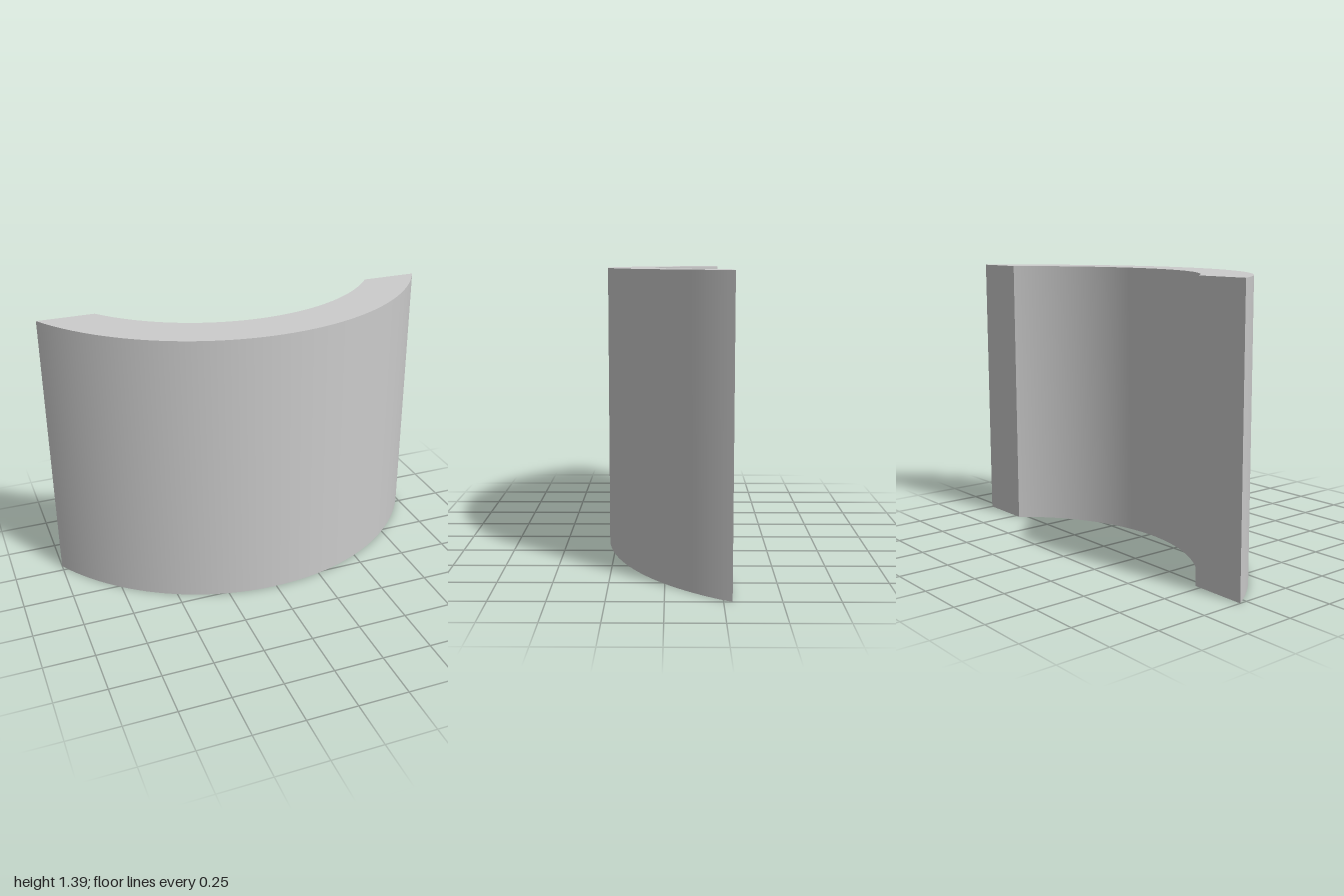
import * as THREE from 'three';
import { toCreasedNormals } from 'three/addons/utils/BufferGeometryUtils.js';

const HEIGHT = 1.386;
const BACK_Z = -0.288;     // flat plane that cuts both ends
const CENTRE_Z = -0.869;   // shared axis of the two arcs
const OUTER_R = 1.157;
const INNER_R = 0.925;

export function createModel() {
  const group = new THREE.Group();
  group.name = 'curvedWall';

  // Plan section: concentric arcs, both trimmed by the back plane (shape y becomes z)
  const trimAngle = (r) => Math.asin((BACK_Z - CENTRE_Z) / r);
  const outer = trimAngle(OUTER_R);
  const inner = trimAngle(INNER_R);
  const section = new THREE.Shape();
  section.absarc(0, CENTRE_Z, OUTER_R, outer, Math.PI - outer, false);
  section.absarc(0, CENTRE_Z, INNER_R, Math.PI - inner, inner, true);

  // Extrude, then stand upright on the ground
  const geometry = new THREE.ExtrudeGeometry(section, {
    depth: HEIGHT,
    bevelEnabled: false,
    curveSegments: 32,
  });
  geometry.rotateX(Math.PI / 2);
  geometry.translate(0, HEIGHT, 0);

  const wall = new THREE.Mesh(
    toCreasedNormals(geometry, 0.4),
    new THREE.MeshStandardMaterial({ color: 0xcccccc })
  );
  wall.name = 'arcSegment';
  group.add(wall);
  return group;
}
